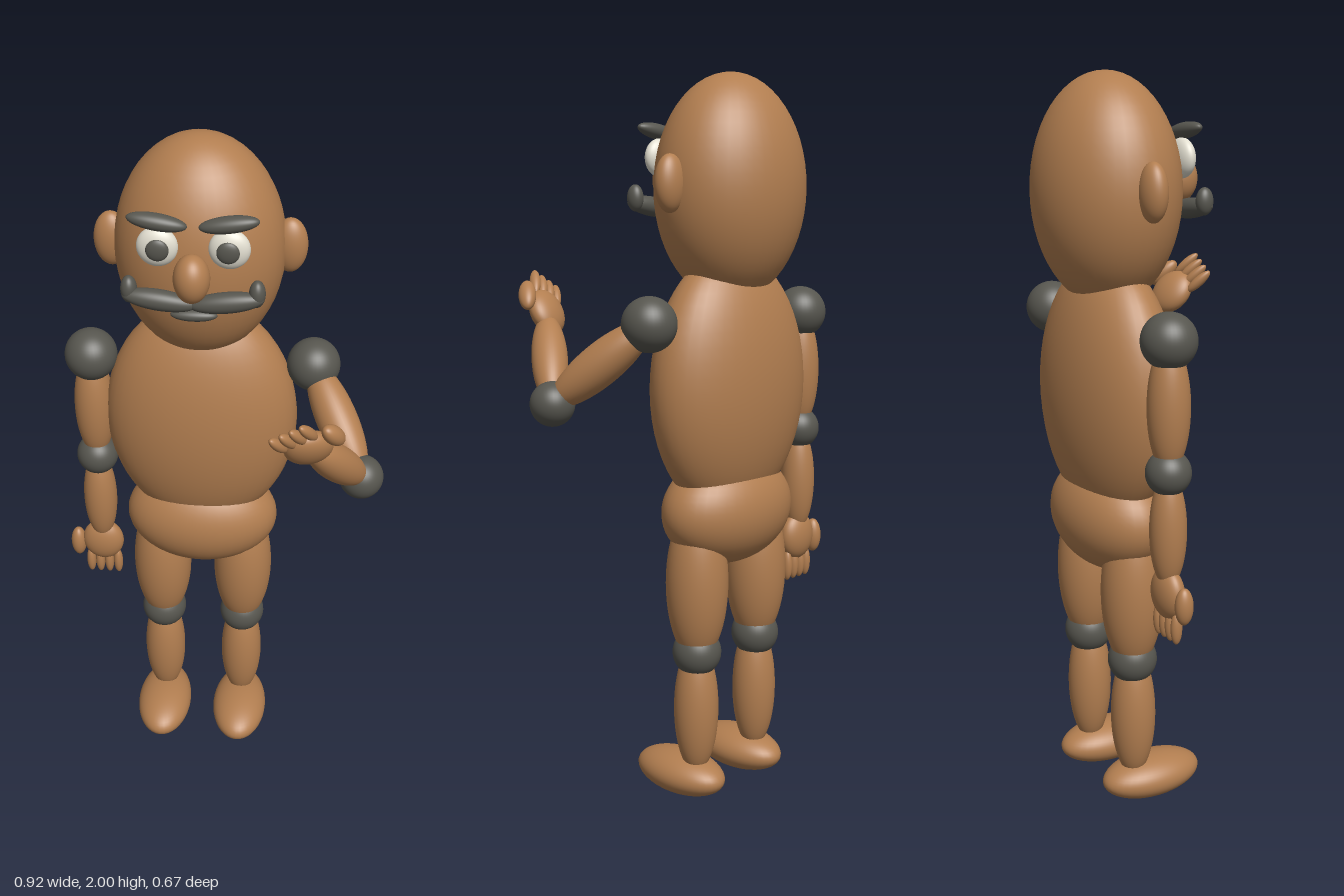
import * as THREE from 'three';

const skin = new THREE.MeshStandardMaterial({ color: 0xb27e50 });
skin.name = 'skin';
const dark = new THREE.MeshStandardMaterial({ color: 0x57564f });
dark.name = 'dark';
const white = new THREE.MeshStandardMaterial({ color: 0xe2ded0 });
white.name = 'eyeWhite';

const ball = new THREE.SphereGeometry(1, 40, 28);

// Adds a smooth ellipsoid: position, radii, tilt about z
function egg(parent, name, material, pos, radii, tilt = 0) {
  const mesh = new THREE.Mesh(ball, material);
  mesh.name = name;
  mesh.position.set(...pos);
  mesh.scale.set(...radii);
  mesh.rotation.z = tilt;
  parent.add(mesh);
  return mesh;
}

// Forearm, palm, thumb and fingers hanging down from the elbow; side is the thumb direction in x
function buildForearm(name, side) {
  const arm = new THREE.Group();
  arm.name = name;
  egg(arm, 'elbow', dark, [0, 0, 0], [0.06, 0.06, 0.06]);
  egg(arm, 'forearm', skin, [0, -0.155, 0], [0.049, 0.155, 0.049]);
  egg(arm, 'palm', skin, [0, -0.325, 0], [0.062, 0.07, 0.036]);
  egg(arm, 'thumb', skin, [side * 0.077, -0.338, 0], [0.023, 0.05, 0.025]);
  for (let i = 0; i < 4; i++) {
    egg(arm, 'finger', skin, [-0.042 + i * 0.028, -0.41, 0], [0.014, 0.045, 0.016]);
  }
  return arm;
}

// Upper arm stretched between shoulder and elbow
function buildUpperArm(parent, shoulder, elbow) {
  egg(parent, 'shoulder', dark, shoulder.toArray(), [0.073, 0.073, 0.073]);
  const middle = shoulder.clone().add(elbow).multiplyScalar(0.5);
  const upper = egg(parent, 'upperArm', skin, middle.toArray(), [0.056, 0.17, 0.056]);
  const direction = shoulder.clone().sub(elbow).normalize();
  upper.quaternion.setFromUnitVectors(new THREE.Vector3(0, 1, 0), direction);
}

function buildHead() {
  const head = new THREE.Group();
  head.name = 'head';
  egg(head, 'skull', skin, [0, 1.698, -0.148], [0.223, 0.302, 0.19]);
  egg(head, 'nose', skin, [0, 1.722, 0.08], [0.046, 0.063, 0.05]);
  egg(head, 'mouth', dark, [0, 1.596, 0.035], [0.06, 0.016, 0.02]);
  for (const s of [-1, 1]) {
    egg(head, 'ear', skin, [s * 0.232, 1.708, -0.148], [0.046, 0.075, 0.035]);
    egg(head, 'eye', white, [s * 0.089, 1.78, 0.029], [0.052, 0.052, 0.027]);
    egg(head, 'pupil', dark, [s * 0.087, 1.78, 0.05], [0.029, 0.029, 0.012]);
    egg(head, 'eyebrow', dark, [s * 0.088, 1.849, 0.037], [0.075, 0.021, 0.024], s * 0.15);
    egg(head, 'moustache', dark, [s * 0.084, 1.65, 0.062], [0.095, 0.027, 0.027], s * 0.13);
    egg(head, 'moustacheTip', dark, [s * 0.16, 1.673, 0.053], [0.021, 0.036, 0.024]);
  }
  return head;
}

function buildLeg(side) {
  const leg = new THREE.Group();
  leg.name = side > 0 ? 'leftLeg' : 'rightLeg';
  leg.position.set(side * 0.123, 0, 0);
  egg(leg, 'thigh', skin, [0, 0.63, -0.145], [0.087, 0.225, 0.086]);
  egg(leg, 'knee', dark, [0, 0.432, -0.145], [0.068, 0.068, 0.068]);
  egg(leg, 'shin', skin, [0, 0.268, -0.143], [0.063, 0.19, 0.062]);
  egg(leg, 'foot', skin, [0, 0.064, -0.084], [0.085, 0.06, 0.151]);
  return leg;
}

export function createModel() {
  const model = new THREE.Group();
  model.name = 'figure';

  // Trunk, head and legs share an offset centre line
  const body = new THREE.Group();
  body.name = 'body';
  body.position.x = -0.053;
  egg(body, 'torso', skin, [0, 1.17, -0.147], [0.269, 0.362, 0.149]);
  egg(body, 'hips', skin, [0, 0.824, -0.145], [0.222, 0.155, 0.14]);
  body.add(buildHead(), buildLeg(-1), buildLeg(1));
  model.add(body);

  // Right arm hangs straight down
  const rightElbow = new THREE.Vector3(-0.359, 1.013, -0.148);
  buildUpperArm(model, new THREE.Vector3(-0.359, 1.352, -0.148), rightElbow);
  const rightForearm = buildForearm('rightForearm', -1);
  rightForearm.position.copy(rightElbow);
  model.add(rightForearm);

  // Left arm is bent forwards, hand raised across the chest
  const leftElbow = new THREE.Vector3(0.398, 1.14, 0.069);
  buildUpperArm(model, new THREE.Vector3(0.255, 1.352, -0.148), leftElbow);
  const up = new THREE.Vector3(0.147, -0.225, -0.19).normalize();
  const across = new THREE.Vector3(0.83, 0.53, 0.05);
  across.addScaledVector(up, -across.dot(up)).normalize();
  const normal = new THREE.Vector3().crossVectors(across, up);
  const leftForearm = buildForearm('leftForearm', 1);
  leftForearm.quaternion.setFromRotationMatrix(new THREE.Matrix4().makeBasis(across, up, normal));
  leftForearm.position.copy(leftElbow);
  model.add(leftForearm);

  return model;
}
